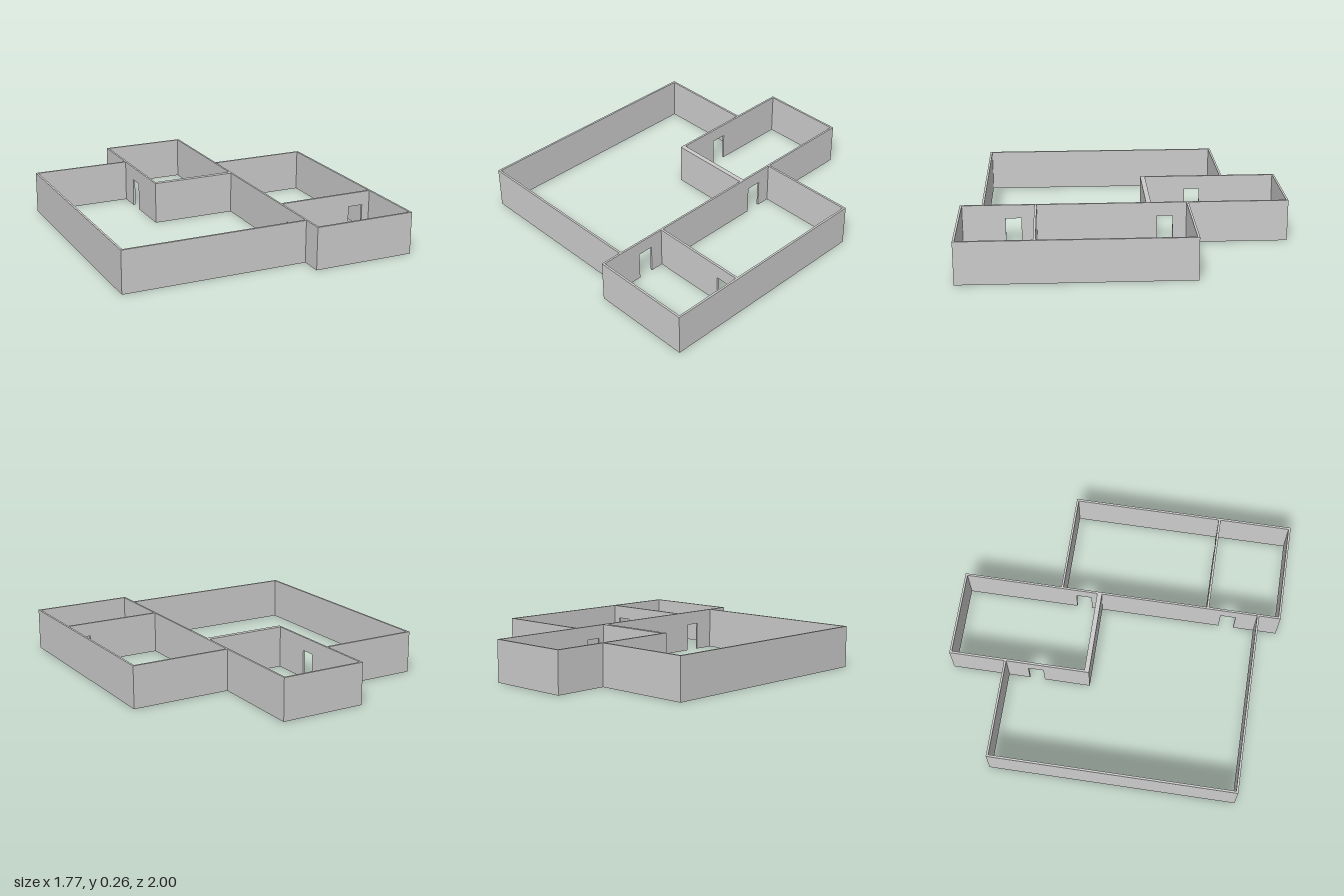
import * as THREE from 'three';

const HEIGHT = 0.26, DOOR_HEIGHT = 0.175;
const material = new THREE.MeshStandardMaterial({ color: 0xcccccc, flatShading: true });

// Wall elevation from a to b; each door is a notch [start, end] rising from the floor.
function wallGeometry(a, b, thickness, doors) {
  const s = new THREE.Shape();
  s.moveTo(a, 0);
  for (const [d0, d1] of doors) {
    s.lineTo(d0, 0);
    s.lineTo(d0, DOOR_HEIGHT);
    s.lineTo(d1, DOOR_HEIGHT);
    s.lineTo(d1, 0);
  }
  s.lineTo(b, 0);
  s.lineTo(b, HEIGHT);
  s.lineTo(a, HEIGHT);
  return new THREE.ExtrudeGeometry(s, { depth: thickness, bevelEnabled: false });
}

// Wall running along x, between z0 and z1.
function wallX(name, x0, x1, z0, z1, doors = []) {
  const mesh = new THREE.Mesh(wallGeometry(x0, x1, z1 - z0, doors), material);
  mesh.position.z = z0;
  mesh.name = name;
  return mesh;
}

// Wall running along z, between x0 and x1; the elevation is turned a quarter, so z is negated.
function wallZ(name, x0, x1, z0, z1, doors = []) {
  const flipped = doors.map(([d0, d1]) => [-d1, -d0]).reverse();
  const mesh = new THREE.Mesh(wallGeometry(-z1, -z0, x1 - x0, flipped), material);
  mesh.rotation.y = Math.PI / 2;
  mesh.position.x = x0;
  mesh.name = name;
  return mesh;
}

export function createModel() {
  const house = new THREE.Group();
  house.name = 'floorPlanWalls';
  house.add(
    // Long central wall with doors to the right-hand rooms
    wallZ('centralWall', 0.254, 0.266, -1, 1, [[-0.29, -0.195], [0.63, 0.725]]),

    // Main room
    wallZ('mainRoomOuterWall', -0.887, -0.874, -0.656, 0.867),
    wallX('mainRoomBackWall', -0.874, -0.272, -0.656, -0.643),
    wallX('mainRoomFrontWall', -0.874, 0.254, 0.854, 0.867),

    // Back room, with a door to the main room and a thicker front wall
    wallZ('backRoomSideWall', -0.272, -0.259, -1, -0.127, [[-0.51, -0.415]]),
    wallX('backRoomBackWall', -0.259, 0.254, -1, -0.987),
    wallX('backRoomFrontWall', -0.259, 0.254, -0.157, -0.127),

    // Side rooms, joined by a door in the divider
    wallZ('sideRoomOuterWall', 0.874, 0.887, -0.387, 1),
    wallX('sideRoomBackWall', 0.266, 0.874, -0.387, -0.374),
    wallX('sideRoomDivider', 0.266, 0.874, 0.536, 0.55, [[0.73, 0.825]]),
    wallX('sideRoomFrontWall', 0.266, 0.874, 0.987, 1),
  );
  return house;
}
